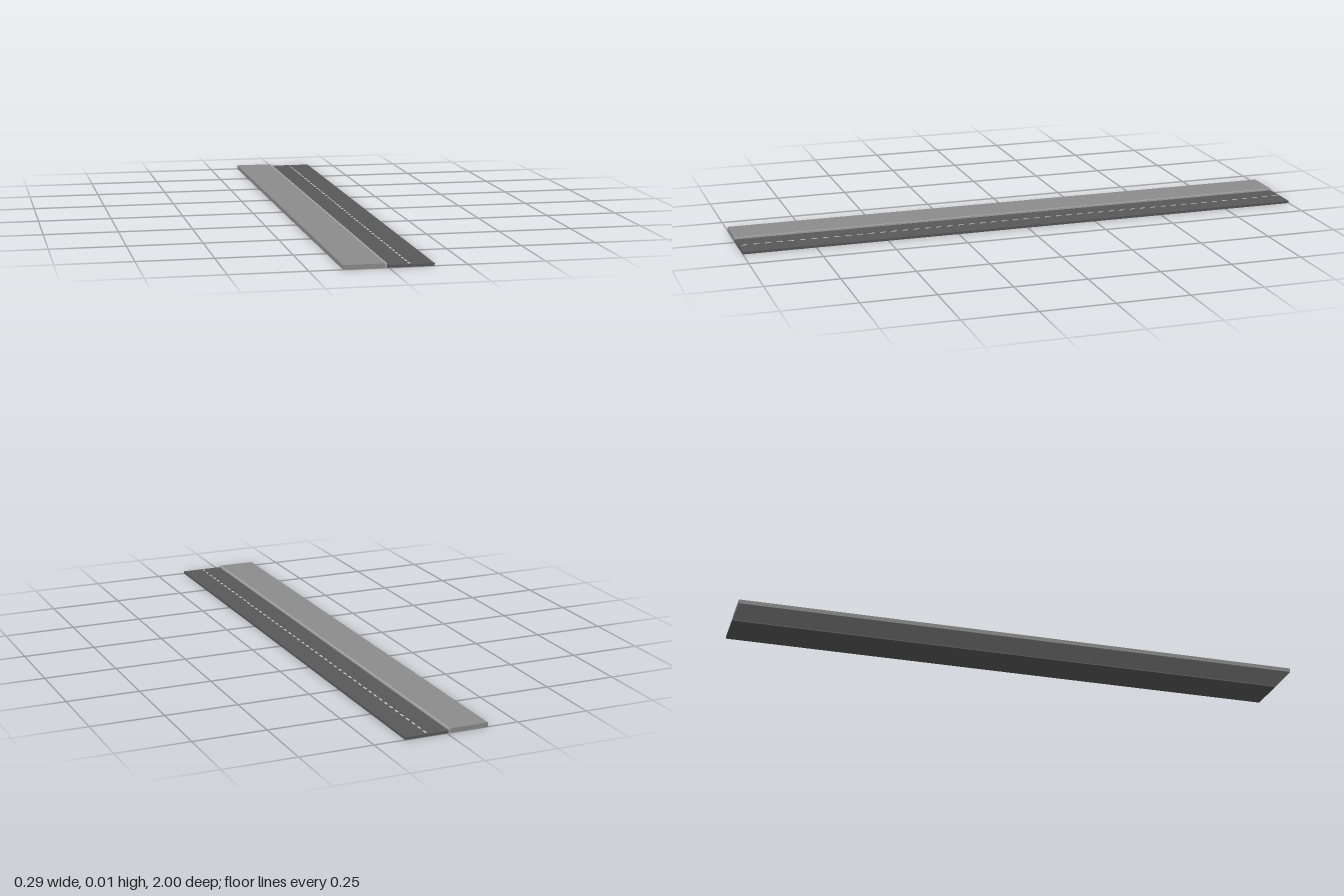
import * as THREE from 'three';

export function createModel() {
  const group = new THREE.Group();
  group.name = 'streetSection';
  const mat = (color) => new THREE.MeshStandardMaterial({ color });

  // Box given by its x and y limits, running along z
  function slab(name, x0, x1, y0, y1, length, material, z = 0) {
    const mesh = new THREE.Mesh(new THREE.BoxGeometry(x1 - x0, y1 - y0, length), material);
    mesh.position.set((x0 + x1) / 2, (y0 + y1) / 2, z);
    mesh.name = name;
    return mesh;
  }

  // Raised pavement, kerb and lower roadway
  group.add(slab('pavement', -0.144, -0.0125, 0, 0.0143, 2, mat(0x8c8c8c)));
  group.add(slab('kerb', -0.0125, -0.006, 0, 0.0143, 2, mat(0xa6a6a6)));
  group.add(slab('roadway', -0.006, 0.144, 0, 0.0085, 2, mat(0x595959)));

  // Dashed centre line
  const dashes = new THREE.Group();
  dashes.name = 'centreLine';
  const paint = mat(0xd8d8d8);
  const count = 50, pitch = 2 / count;
  for (let i = 0; i < count; i++) {
    const z = -1 + (i + 0.5) * pitch;
    dashes.add(slab('dash', 0.064, 0.07, 0.008, 0.0089, pitch / 2, paint, z));
  }
  group.add(dashes);
  return group;
}
